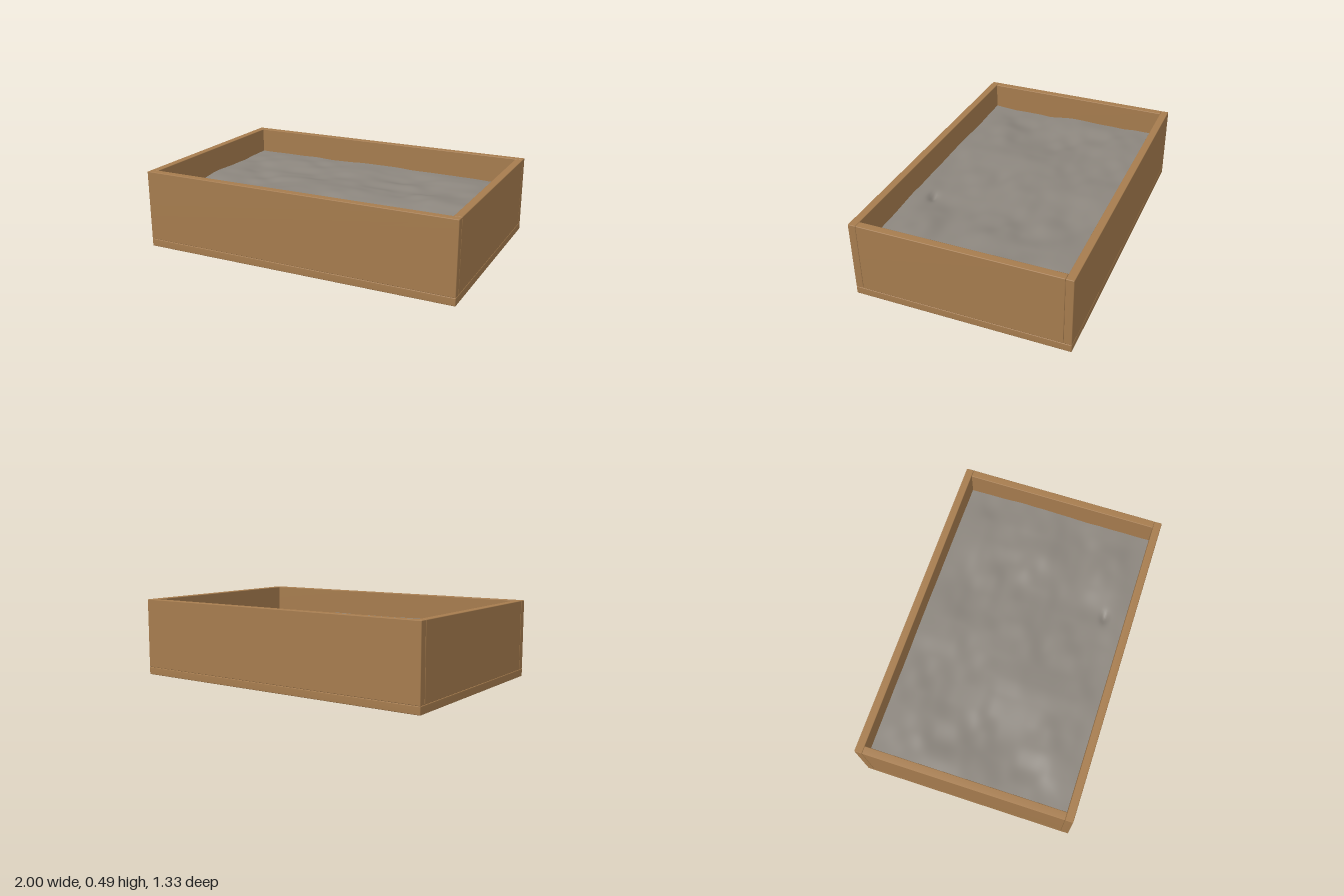
import * as THREE from 'three';
import { mergeVertices } from 'three/addons/utils/BufferGeometryUtils.js';
import { RoundedBoxGeometry } from 'three/addons/geometries/RoundedBoxGeometry.js';

const W = 2, D = 1.33, H = 0.488, T = 0.048;

// Repeatable pseudo-random value for a lattice point
function hash(i, j) {
  const s = Math.sin(i * 127.1 + j * 311.7) * 43758.5453;
  return s - Math.floor(s);
}

// Smooth value noise in -1..1
function noise(x, z) {
  const i = Math.floor(x), j = Math.floor(z);
  const ease = t => t * t * (3 - 2 * t);
  const u = ease(x - i), v = ease(z - j);
  const a = THREE.MathUtils.lerp(hash(i, j), hash(i + 1, j), u);
  const b = THREE.MathUtils.lerp(hash(i, j + 1), hash(i + 1, j + 1), u);
  return THREE.MathUtils.lerp(a, b, v) * 2 - 1;
}

// Uneven fill height, calmer along the walls, with one small pit near the front
function fillHeight(x, z) {
  const edge = Math.min(W / 2 - T - Math.abs(x), D / 2 - T - Math.abs(z));
  const calm = 0.45 + 0.55 * THREE.MathUtils.smoothstep(edge, 0, 0.2);
  const bumps = 0.022 * noise(x * 3.2 + 9, z * 4.5 + 4) + 0.009 * noise(x * 8 + 3, z * 11 + 7);
  const pit = 0.025 * Math.exp(-((x - 0.33) ** 2 / 0.0016 + (z - 0.49) ** 2 / 0.0005));
  return 0.318 + calm * bumps - pit;
}

// Board with softened edges and shading that runs smoothly over them
function boardGeometry(w, h, d) {
  const box = new RoundedBoxGeometry(w, h, d, 1, 0.004);
  box.deleteAttribute('normal');
  box.deleteAttribute('uv');
  const geometry = mergeVertices(box, 1e-5);
  geometry.computeVertexNormals();
  return geometry;
}

export function createModel() {
  const wood = new THREE.MeshStandardMaterial({ color: 0xa67c4e });
  wood.name = 'wood';
  const gravel = new THREE.MeshStandardMaterial({ color: 0x8c867e });
  gravel.name = 'greyFill';
  const model = new THREE.Group();
  model.name = 'filledTray';

  const board = (name, w, h, d, x, y, z) => {
    const mesh = new THREE.Mesh(boardGeometry(w, h, d), wood);
    mesh.name = name;
    mesh.position.set(x, y, z);
    model.add(mesh);
  };

  // Floor, with the four walls standing on it
  const wallH = H - T, wallY = T + wallH / 2;
  board('floorBoard', W, T, D, 0, T / 2, 0);
  for (const s of [1, -1]) {
    board(s > 0 ? 'frontWall' : 'backWall', W, wallH, T, 0, wallY, s * (D - T) / 2);
    board(s > 0 ? 'leftWall' : 'rightWall', T, wallH, D - 2 * T, s * (W - T) / 2, wallY, 0);
  }

  // Bumpy fill surface spanning the inside
  const fill = new THREE.PlaneGeometry(W - 2 * T, D - 2 * T, 110, 76);
  fill.rotateX(-Math.PI / 2);
  const p = fill.attributes.position;
  for (let i = 0; i < p.count; i++) p.setY(i, fillHeight(p.getX(i), p.getZ(i)));
  fill.computeVertexNormals();
  const surface = new THREE.Mesh(fill, gravel);
  surface.name = 'fillSurface';
  model.add(surface);

  return model;
}
